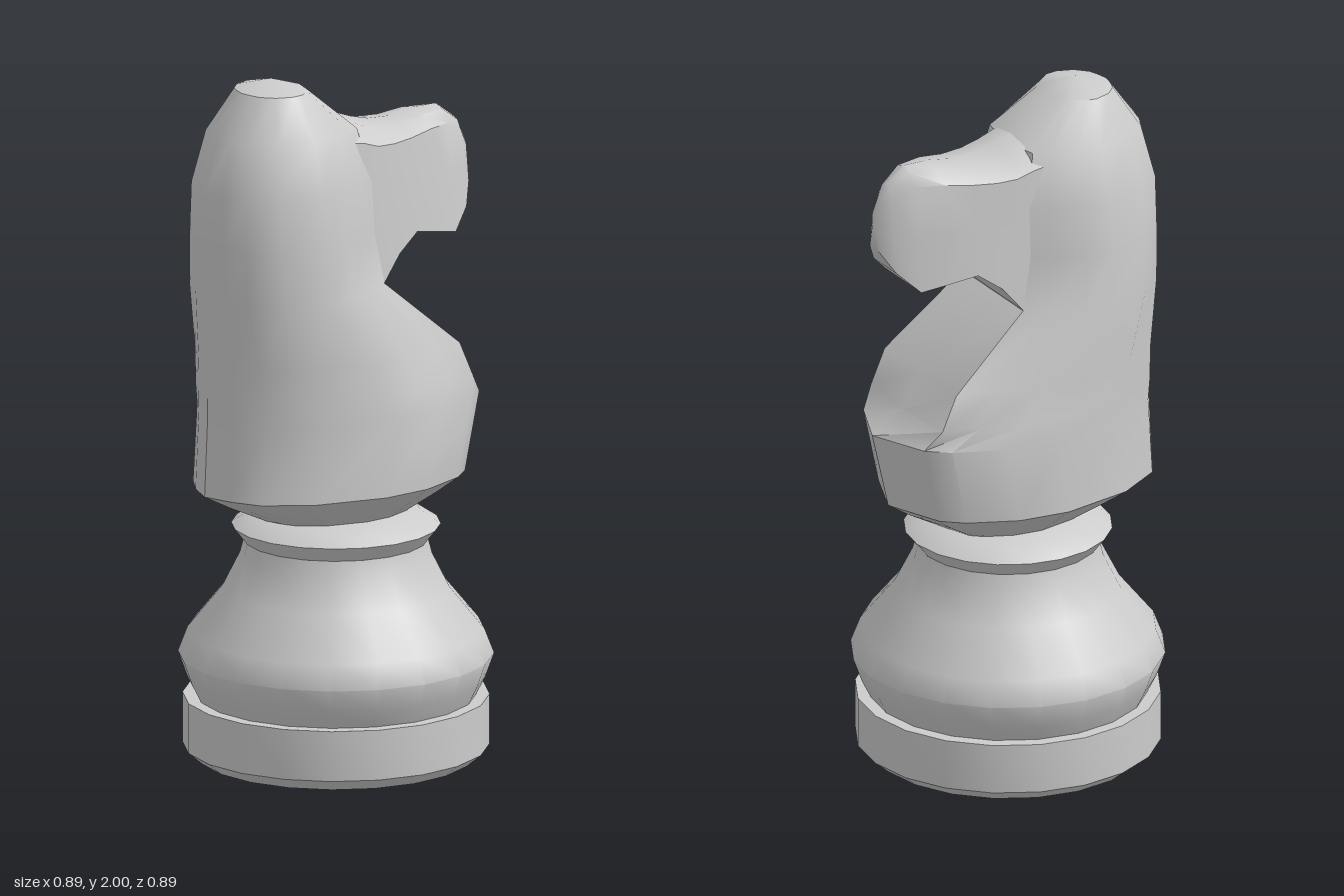
import * as THREE from 'three';
import { toCreasedNormals } from 'three/addons/utils/BufferGeometryUtils.js';

const material = new THREE.MeshStandardMaterial({ color: 0xcccccc });

function addPart(group, name, geometry, crease) {
  const mesh = new THREE.Mesh(toCreasedNormals(geometry, crease), material);
  mesh.name = name;
  group.add(mesh);
}

// Complete a +z half outline (first and last points on z = 0) into a closed ring
function mirrorRing(half) {
  const other = half.slice(1, -1).reverse().map(([x, y, z]) => [x, y, -z]);
  return [...half, ...other];
}

// Skin a row of rings and close both ends with a fan to a centre point
function loft(rings, startPoint, endPoint) {
  const n = rings[0].length;
  const points = [...rings.flat(), startPoint, endPoint];
  const start = points.length - 2, end = points.length - 1;
  const last = (rings.length - 1) * n;
  const index = [];
  for (let j = 0; j < n; j++) {
    const k = (j + 1) % n;
    for (let i = 0; i < rings.length - 1; i++) {
      const a = i * n, b = a + n;
      index.push(a + j, a + k, b + k, a + j, b + k, b + j);
    }
    index.push(start, k, j, end, last + j, last + k);
  }
  const geometry = new THREE.BufferGeometry();
  geometry.setAttribute('position', new THREE.Float32BufferAttribute(points.flat(), 3));
  geometry.setIndex(index);
  return geometry;
}

function lathe(profile) {
  return new THREE.LatheGeometry(profile.map(([r, y]) => new THREE.Vector2(r, y)), 20);
}

// Horizontal slice of the neck: pointed back, broad sides, front with half width f
function neckRing([y, back, front, w, f, round]) {
  const at = (u, z) => [back + (front - back) * u, y, z];
  return mirrorRing([
    at(0, 0), at(0.035, w * 0.3), at(0.09, w * 0.57), at(0.25, w * 0.85),
    at(0.5, w), at(0.68, w * 0.95), at(0.85, w * 0.4 + f * 0.6),
    at(1 - round, f), at(1, 0),
  ]);
}

// Upright slice of the muzzle, narrower at the brow than at the jaw
function muzzleRing([x, top, bottom, wTop, wJaw]) {
  const h = top - bottom;
  return mirrorRing([
    [x, top, 0], [x, top - h * 0.03, wTop * 0.55], [x, top - h * 0.13, wTop],
    [x, top - h * 0.55, wTop * 0.5 + wJaw * 0.5], [x, bottom, wJaw], [x, bottom, 0],
  ]);
}

export function createModel() {
  const model = new THREE.Group();

  // Turned stand
  addPart(model, 'baseDisc', lathe([
    [0, 0], [0.39, 0], [0.432, 0.035], [0.432, 0.18], [0, 0.18],
  ]), 0.6);
  addPart(model, 'pedestal', lathe([
    [0, 0.17], [0.395, 0.18], [0.42, 0.23], [0.445, 0.3], [0.418, 0.37], [0.32, 0.49],
    [0.27, 0.59], [0.26, 0.63], [0.295, 0.675], [0.235, 0.715], [0, 0.715],
  ]), 0.75);

  // Neck and chest: y, back x, front x, half width, front half width, front rounding
  const neck = [
    [0.715, -0.24, 0.22, 0.17, 0.1, 0.08],
    [0.77, -0.36, 0.32, 0.24, 0.14, 0.08],
    [0.815, -0.447, 0.39, 0.296, 0.17, 0.08],
    [1.04, -0.437, 0.442, 0.296, 0.17, 0.08],
    [1.1, -0.437, 0.345, 0.287, 0.2, 0.02],
    [1.2, -0.436, 0.285, 0.28, 0.2, 0],
    [1.4, -0.442, 0.05, 0.26, 0.17, 0],
    [1.55, -0.447, 0.04, 0.245, 0.16, 0.03],
    [1.7, -0.448, 0.04, 0.227, 0.15, 0.04],
    [1.85, -0.41, 0.015, 0.185, 0.12, 0.06],
    [1.97, -0.32, -0.125, 0.115, 0.06, 0.08],
  ].map(neckRing);
  addPart(model, 'neck', loft(neck, [0, 0.715, 0], [-0.22, 2, 0]), 0.6);

  // Muzzle: x, top y, bottom y, brow half width, jaw half width
  const muzzle = [
    [-0.12, 1.89, 1.42, 0.15, 0.18],
    [0, 1.868, 1.41, 0.145, 0.175],
    [0.05, 1.85, 1.402, 0.14, 0.17],
    [0.11, 1.835, 1.475, 0.13, 0.158],
    [0.18, 1.832, 1.525, 0.115, 0.142],
    [0.26, 1.845, 1.51, 0.093, 0.125],
    [0.34, 1.845, 1.492, 0.06, 0.1],
    [0.4, 1.8, 1.55, 0.035, 0.065],
    [0.435, 1.73, 1.61, 0.012, 0.025],
  ].map(muzzleRing);
  addPart(model, 'muzzle', loft(muzzle, [-0.12, 1.65, 0], [0.443, 1.67, 0]), 0.65);

  return model;
}
